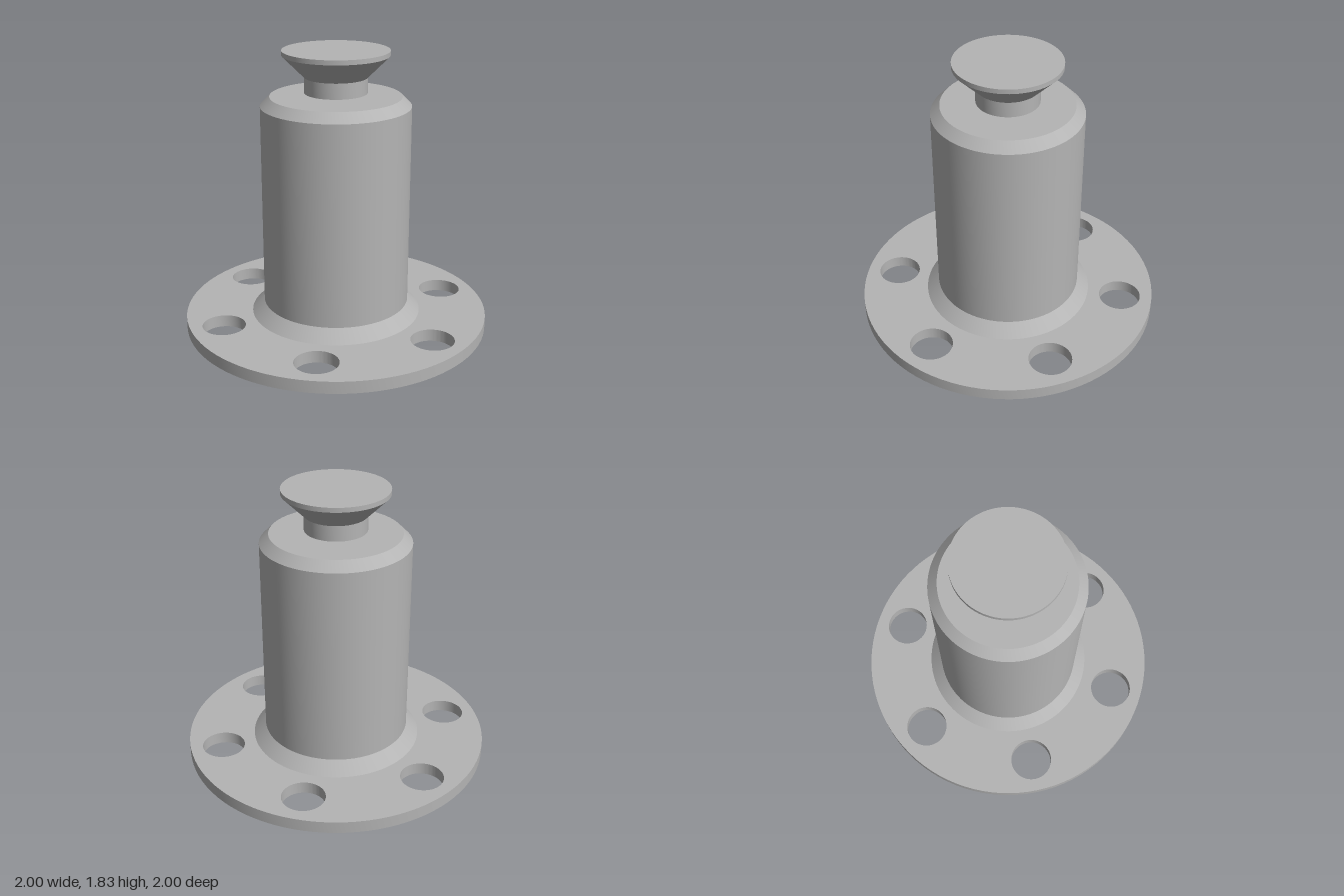
import * as THREE from 'three';
import { toCreasedNormals } from 'three/addons/utils/BufferGeometryUtils.js';

const SEGMENTS = 96;
const CREASE = 0.5;

export function createModel() {
  const model = new THREE.Group();
  model.name = 'flangedPost';
  const metal = new THREE.MeshStandardMaterial({ color: 0xb4b4b4 });
  metal.name = 'grey metal';

  const add = (name, geometry) => {
    const mesh = new THREE.Mesh(toCreasedNormals(geometry, CREASE), metal);
    mesh.name = name;
    model.add(mesh);
    return mesh;
  };
  // Profile of [radius, height] pairs, bottom to top
  const turned = (profile) =>
    new THREE.LatheGeometry(profile.map(([r, y]) => new THREE.Vector2(r, y)), SEGMENTS);

  // Round base flange with six bolt holes
  const disc = new THREE.Shape().absarc(0, 0, 1, 0, Math.PI * 2, false);
  for (let i = 0; i < 6; i++) {
    const a = (i * Math.PI) / 3;
    disc.holes.push(
      new THREE.Path().absarc(0.78 * Math.cos(a), 0.78 * Math.sin(a), 0.14, 0, Math.PI * 2, true)
    );
  }
  const flange = new THREE.ExtrudeGeometry(disc, {
    depth: 0.08, bevelEnabled: false, curveSegments: SEGMENTS / 2,
  });
  flange.rotateX(-Math.PI / 2);
  add('baseFlange', flange);

  // Weld fillet, cylindrical body and chamfered top
  add('body', turned([
    [0.56, 0.08], [0.48, 0.16], [0.48, 1.48], [0.42, 1.54], [0, 1.54],
  ]));

  // Flared knob, set just above the body
  add('knob', turned([
    [0, 1.56], [0.2, 1.56], [0.2, 1.66], [0.34, 1.8], [0.34, 1.83], [0, 1.83],
  ]));

  return model;
}
